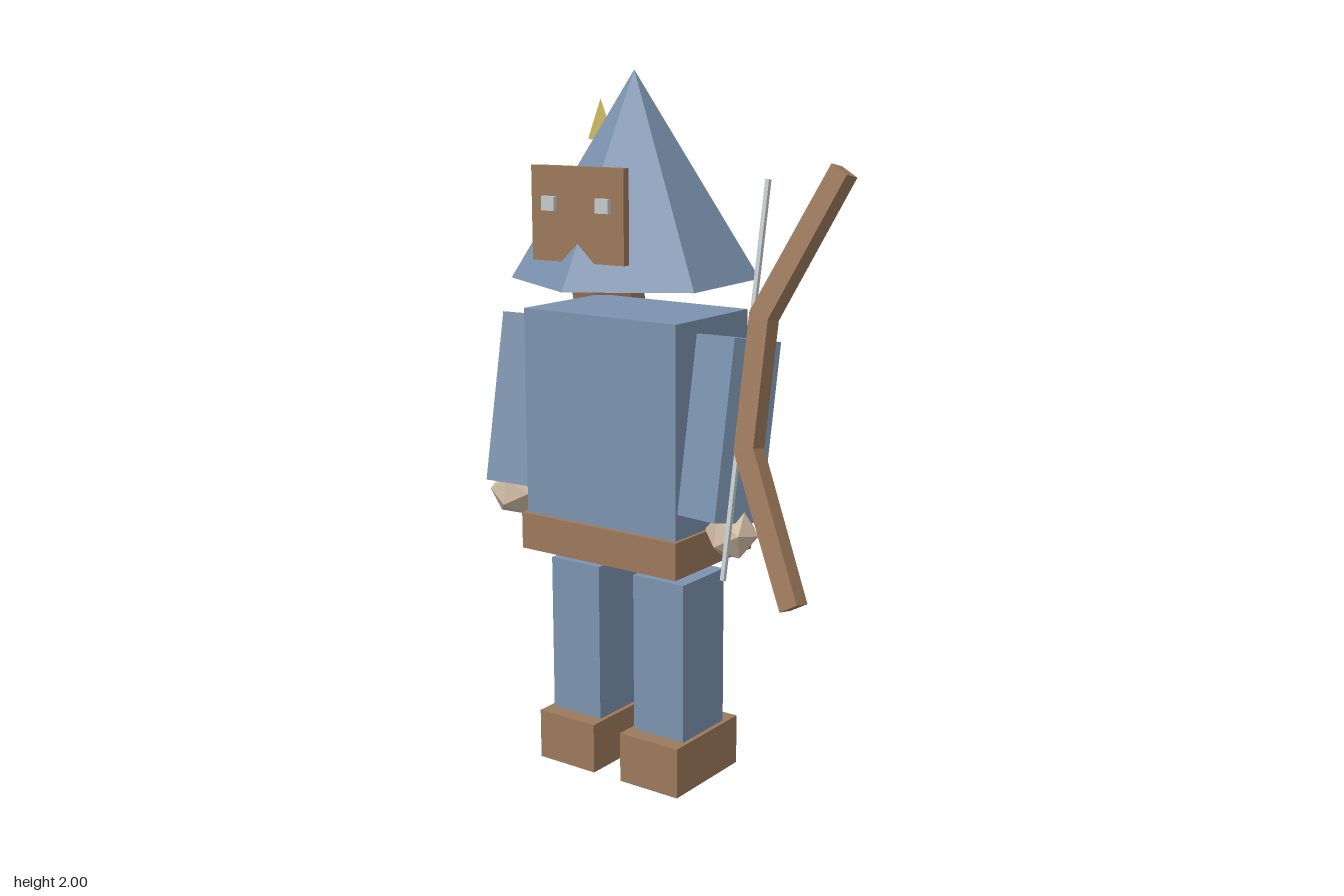
import * as THREE from 'three';

const mat = (name, color) => {
  const m = new THREE.MeshStandardMaterial({ color, flatShading: true });
  m.name = name;
  return m;
};

export function createModel() {
  const blue = mat('blue cloth', 0x7b92ae);
  const brown = mat('brown leather', 0x9c795b);
  const gold = mat('gold', 0xc9b45c);
  const skin = mat('skin', 0xd0bba4);
  const silver = mat('silver', 0xc4cacc);

  const CX = -0.106, CZ = 0.047; // body axis
  const model = new THREE.Group();
  model.name = 'hoodedArcher';

  const add = (parent, name, geometry, material, x, y, z) => {
    const mesh = new THREE.Mesh(geometry, material);
    mesh.name = name;
    mesh.position.set(x, y, z);
    parent.add(mesh);
    return mesh;
  };
  const box = (w, h, d) => new THREE.BoxGeometry(w, h, d);
  const group = (name, x, y, z) => {
    const g = new THREE.Group();
    g.name = name;
    g.position.set(x, y, z);
    model.add(g);
    return g;
  };

  // Torso and belt
  add(model, 'torso', box(0.52, 0.6, 0.345), blue, CX, 1.05, CZ);
  add(model, 'belt', box(0.54, 0.105, 0.375), brown, CX, 0.707, CZ);

  // Legs, boots, arms and hands, mirrored about the body axis
  for (const [side, s] of [['right', -1], ['left', 1]]) {
    add(model, side + 'Leg', box(0.173, 0.465, 0.2), blue, CX + s * 0.148, 0.378, CZ);
    add(model, side + 'Boot', box(0.2, 0.147, 0.302), brown, CX + s * 0.148, 0.0735, CZ - 0.002);

    const arm = add(model, side + 'Arm', box(0.17, 0.49, 0.178), blue, CX + s * 0.334, 1.06, 0.092);
    arm.rotation.set(-0.185, -s * 0.2, 0);
    const hand = add(model, side + 'Hand', new THREE.IcosahedronGeometry(0.074, 0), skin,
      CX + s * 0.383, 0.785, 0.132);
    hand.rotation.set(-0.185, -s * 0.2, 0);
  }

  // Head: six-sided hood, face mask and eyes, turned slightly
  const head = group('head', CX, 0, CZ);
  head.rotation.y = 0.055;
  add(head, 'hood', new THREE.ConeGeometry(0.345, 0.565, 6), blue, 0, 1.7175, 0);

  const mask = new THREE.Shape([
    [-0.147, 0.125], [-0.147, -0.125], [-0.047, -0.125], [0, -0.075],
    [0.047, -0.125], [0.147, -0.125], [0.147, 0.125],
  ].map(([x, y]) => new THREE.Vector2(x, y)));
  add(head, 'mask', new THREE.ExtrudeGeometry(mask, { depth: 0.024, bevelEnabled: false }),
    brown, 0, 1.63, 0.248);
  for (const s of [-1, 1]) {
    add(head, s < 0 ? 'rightEye' : 'leftEye', box(0.041, 0.038, 0.03), silver, s * 0.086, 1.657, 0.271);
  }

  // Bow: bent limbs extruded from one outline, with a straight string
  const bow = group('bow', 0, 1.201, 0.122);
  bow.rotation.x = -0.19;
  const half = [[0.315, 0.184], [0.509, 0.575], [0.557, 0.548], [0.374, 0.168]];
  const outline = [...half, ...half.map(([x, y]) => [x, -y]).reverse()];
  const limbs = new THREE.ExtrudeGeometry(
    new THREE.Shape(outline.map(([x, y]) => new THREE.Vector2(x, y))),
    { depth: 0.055, bevelEnabled: false });
  add(bow, 'bowLimbs', limbs, brown, 0, 0, -0.0275);
  add(bow, 'bowString', box(0.012, 1.06, 0.012), silver, 0.31, 0, 0);

  // Quiver leaning on the back
  const quiver = add(model, 'quiver', new THREE.CylinderGeometry(0.108, 0.108, 0.555, 6, 1, false, 0.27),
    brown, -0.398, 1.262, -0.222);
  quiver.rotation.set(0.24, 0, -0.04);

  // Three upright arrows
  for (let i = 0; i < 3; i++) {
    const arrow = group('arrow' + (i + 1), -0.482 + i * 0.086, 0, -0.284);
    add(arrow, 'arrowShaft', new THREE.CylinderGeometry(0.013, 0.013, 0.345, 6), brown, 0, 1.625, 0);
    add(arrow, 'arrowHead', new THREE.ConeGeometry(0.049, 0.12, 4), gold, 0, 1.854, 0);
  }

  return model;
}
